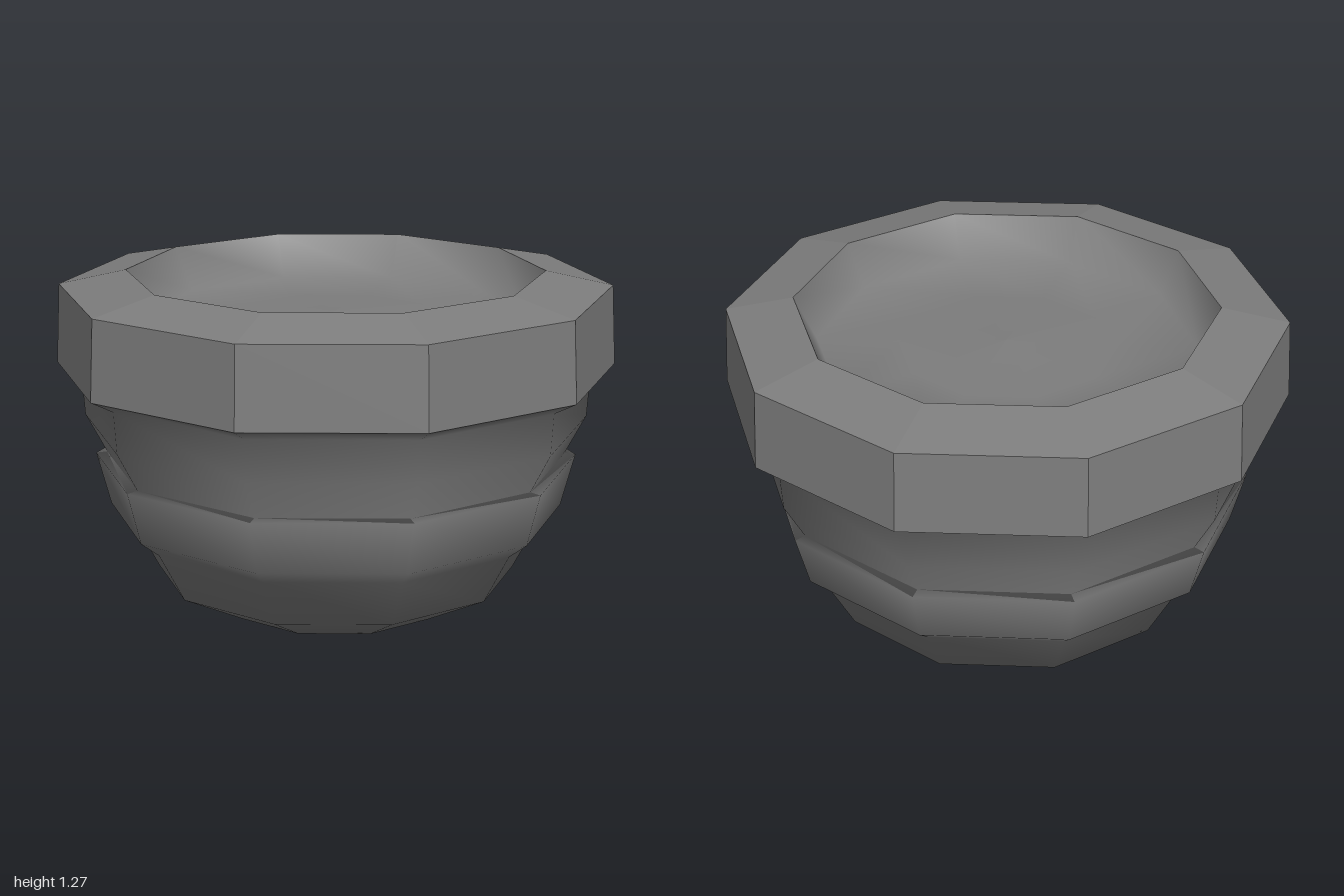
import * as THREE from 'three';

const SIDES = 10;

// Ten-sided turned part; a profile point is [radius, height].
function turned(name, profile, flatShading = false) {
  const points = profile.map(([r, y]) => new THREE.Vector2(r, y));
  // Starting a quarter turn round puts a corner on each side of the x axis.
  const geometry = new THREE.LatheGeometry(points, SIDES, Math.PI / 2);
  const material = new THREE.MeshStandardMaterial({
    color: 0x7d7d7d, flatShading, side: THREE.DoubleSide,
  });
  const mesh = new THREE.Mesh(geometry, material);
  mesh.name = name;
  return mesh;
}

export function createModel() {
  const bowl = new THREE.Group();
  bowl.name = 'bowl';

  // Smooth outer shell: rounded base, raised belly band, neck, rim underside
  bowl.add(turned('outerShell', [
    [0, 0], [0.41, 0.045], [0.65, 0.165], [0.75, 0.35],
    [0.82, 0.405], [0.87, 0.595], [0.83, 0.6],
    [0.905, 0.74], [0.915, 0.89], [1, 0.935],
  ]));

  // Thick faceted rim with a sloping top
  bowl.add(turned('rim', [[1, 0.935], [0.985, 1.22], [0.745, 1.272]], true));

  // Shallow filling: short wall below the lip, then a nearly level surface
  bowl.add(turned('filling', [
    [0.745, 1.272], [0.67, 1.115], [0.38, 1.105], [0, 1.125],
  ]));

  return bowl;
}
